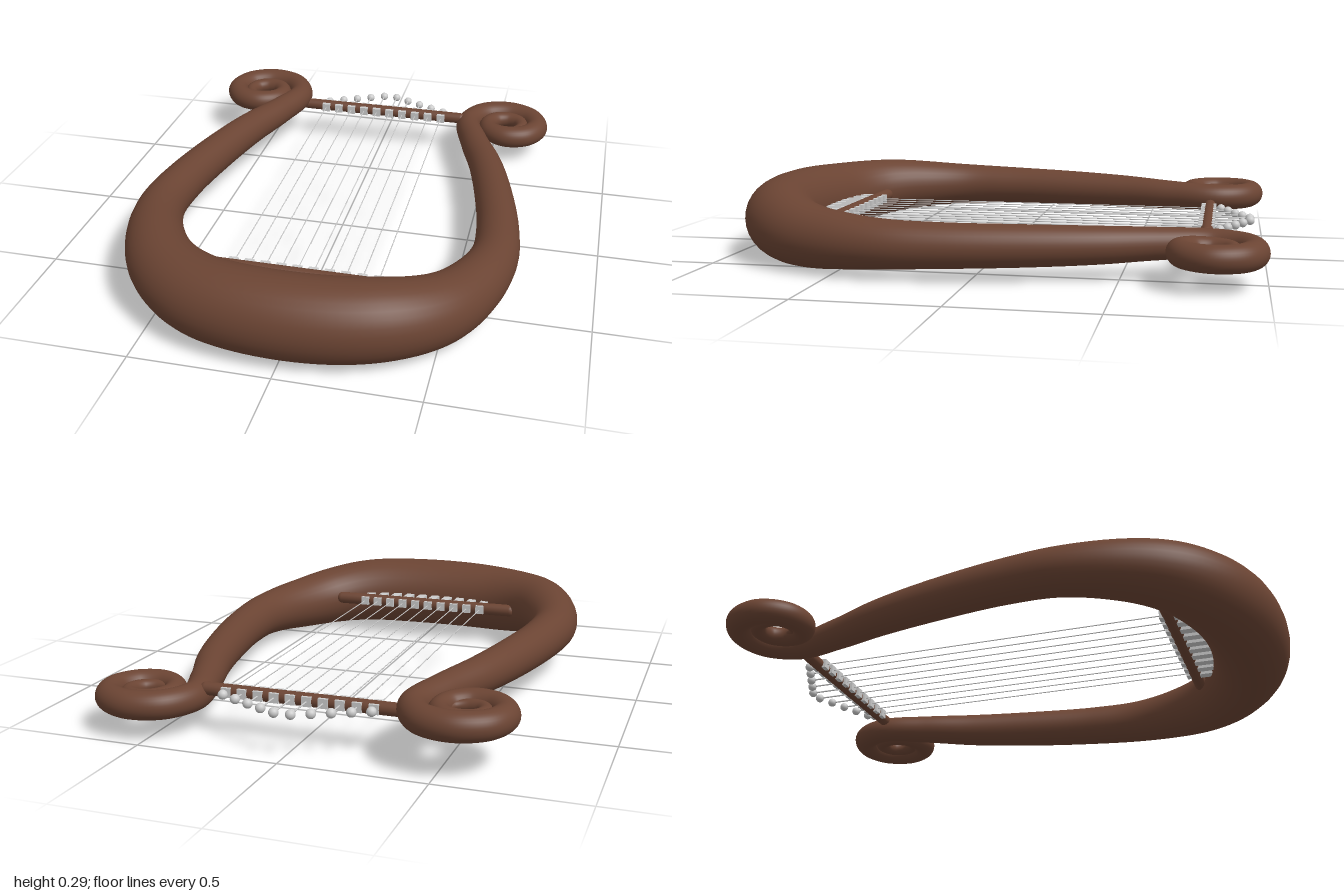
import * as THREE from 'three';

const wood = new THREE.MeshStandardMaterial({ color: 0x6b4433 });
const metal = new THREE.MeshStandardMaterial({ color: 0xcccccc });
const MID = 0.15; // height of the instrument's middle plane

function add(parent, name, geometry, material, x = 0, y = 0, z = 0) {
  const mesh = new THREE.Mesh(geometry, material);
  mesh.name = name;
  mesh.position.set(x, y, z);
  parent.add(mesh);
  return mesh;
}

// Thin round rod along z from z0 to z1
function rodZ(parent, name, r, x, z0, z1) {
  const g = new THREE.CylinderGeometry(r, r, z1 - z0, 8).rotateX(Math.PI / 2);
  add(parent, name, g, metal, x, MID, (z0 + z1) / 2);
}

// Square block along z from z0 to z1
function blockZ(parent, name, w, x, z0, z1) {
  add(parent, name, new THREE.BoxGeometry(w, w, z1 - z0), metal, x, MID, (z0 + z1) / 2);
}

// Centreline of one half; the y component carries the tube radius
function halfPath() {
  const pts = [
    [0, 0.147, 0.85], [0.295, 0.141, 0.805], [0.467, 0.126, 0.692], [0.575, 0.106, 0.515],
    [0.63, 0.088, 0.31], [0.622, 0.08, 0.10], [0.572, 0.074, -0.18],
    [0.51, 0.067, -0.42], [0.438, 0.058, -0.62],
  ].map(p => new THREE.Vector3(...p));
  // Scroll: distance from its centre and tube radius at every quarter turn;
  // the thin end runs into the turn outside it
  const dist = [0.17, 0.14, 0.128, 0.105, 0.085, 0.072, 0.065, 0.063, 0.068];
  const rad = [0.051, 0.05, 0.047, 0.045, 0.036, 0.032, 0.028, 0.023, 0.012];
  for (let k = 0; k <= 16; k++) {
    const i = Math.floor(k / 2), j = Math.ceil(k / 2);
    const d = (dist[i] + dist[j]) / 2, r = (rad[i] + rad[j]) / 2;
    const a = Math.PI + k * Math.PI / 4;
    pts.push(new THREE.Vector3(0.56 + d * Math.cos(a), r, -0.81 + d * Math.sin(a)));
  }
  return pts;
}

// Closed tube of changing radius; the two arms are offset up and down
function frameGeometry(steps, sides) {
  const half = halfPath(), n = half.length - 1;
  const mirrored = half.slice(1).reverse().map(p => new THREE.Vector3(-p.x, p.y, p.z));
  const curve = new THREE.CatmullRomCurve3([...mirrored, ...half]);
  const pos = [], index = [];
  for (let i = 0; i <= steps; i++) {
    const u = i / steps, s = 2 * u - 1;
    const p = curve.getPoint(u);
    const t = curve.getTangent(u).setY(0).normalize();
    const lift = -0.027 * Math.sign(s) * THREE.MathUtils.smoothstep(Math.abs(s) * n, 0.8, 3);
    for (let j = 0; j < sides; j++) {
      const a = j / sides * Math.PI * 2, c = Math.cos(a) * p.y;
      pos.push(p.x + t.z * c, lift + Math.sin(a) * p.y, p.z - t.x * c);
      if (i === steps) continue;
      const j2 = (j + 1) % sides, r0 = i * sides, r1 = r0 + sides;
      index.push(r0 + j, r0 + j2, r1 + j, r0 + j2, r1 + j2, r1 + j);
    }
  }
  // End caps
  const last = steps * sides;
  for (let j = 1; j < sides - 1; j++) {
    index.push(0, j + 1, j, last, last + j, last + j + 1);
  }
  const g = new THREE.BufferGeometry();
  g.setAttribute('position', new THREE.Float32BufferAttribute(pos, 3));
  g.setIndex(index);
  g.computeVertexNormals();
  return g;
}

export function createModel() {
  const model = new THREE.Group();
  model.name = 'lyre';

  // Curved frame with scrolled arms
  add(model, 'frame', frameGeometry(480, 32), wood, 0, MID, 0);

  // Crossbar between the arms and bridge near the base
  const bar = (name, r, length, z) =>
    add(model, name, new THREE.CapsuleGeometry(r, length, 6, 20).rotateZ(Math.PI / 2), wood, 0, MID, z);
  bar('crossbar', 0.023, 0.70, -0.787);
  bar('bridge', 0.025, 0.77, 0.604);

  // Strings with their collars, anchors and tuning pegs
  const strings = new THREE.Group();
  strings.name = 'strings';
  model.add(strings);
  for (let i = 0; i < 10; i++) {
    const x = 0.004 + (i - 4.5) * 0.0583;
    const knobZ = -0.832 - 0.0273 * Math.min(i, 9 - i);
    rodZ(strings, 'string', 0.002, x, -0.78, 0.60);
    blockZ(strings, 'collar', 0.034, x, -0.813, -0.755);
    blockZ(strings, 'anchor', 0.034, x, 0.57, 0.73);
    rodZ(strings, 'pegShaft', 0.003, x, knobZ, -0.80);
    add(strings, 'pegKnob', new THREE.SphereGeometry(0.017, 16, 12), metal, x, MID, knobZ);
  }
  return model;
}
